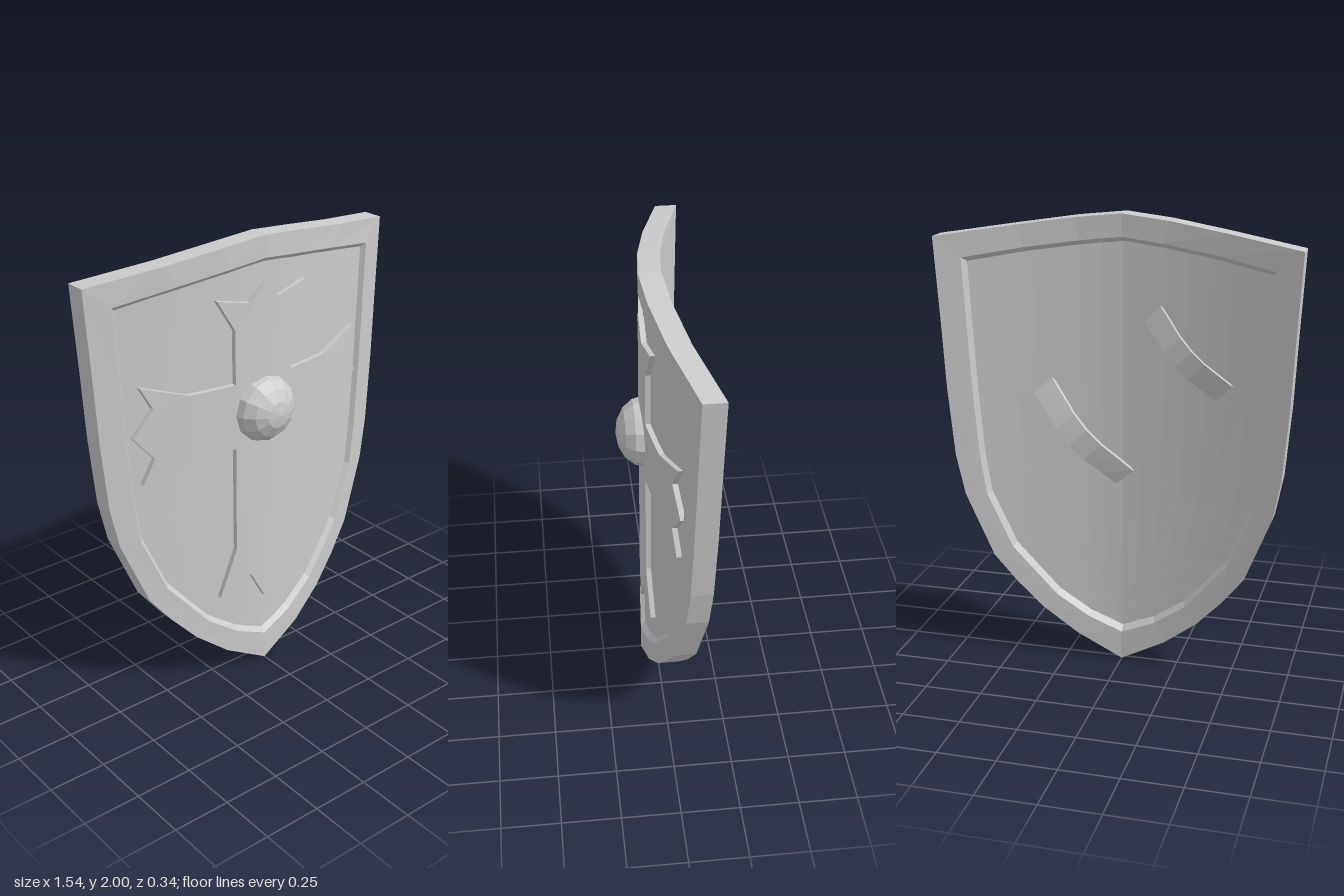
import * as THREE from 'three';

const material = new THREE.MeshStandardMaterial({ color: 0xcccccc, flatShading: true });

// Right half of the outer and inner rim outlines, from bottom tip to top middle
const OUTER = [[0, 0], [0.2, 0.11], [0.35, 0.23], [0.46, 0.35], [0.56, 0.48], [0.675, 0.77], [0.71, 0.95],
  [0.735, 1.25], [0.75, 1.55], [0.77, 1.9], [0.45, 1.945], [0.2, 1.98], [0, 2]];
const INNER = [[0, 0.13], [0.15, 0.195], [0.29, 0.295], [0.38, 0.4], [0.48, 0.52], [0.585, 0.77], [0.61, 0.95],
  [0.63, 1.22], [0.645, 1.5], [0.66, 1.81], [0.4, 1.855], [0.18, 1.885], [0, 1.905]];
const CORNER = 9; // index of the top corner in both outlines

// Depth levels at the centre line
const RIM_FRONT = 0.07, RIM_BACK = -0.022, PANEL_FRONT = 0.047, PANEL_BACK = 0.003, CROSS_FRONT = 0.069;

// The whole shield sweeps back towards its sides
const bend = (x) => -0.15 * Math.pow(Math.abs(x) / 0.77, 1.6);

function bendGeometry(geometry) {
  const p = geometry.attributes.position;
  for (let i = 0; i < p.count; i++) p.setZ(i, p.getZ(i) + bend(p.getX(i)));
  geometry.computeVertexNormals();
  return geometry;
}

// Skins rows of [x, y, z] points with quads
function skin(rows, closed = false) {
  const n = rows[0].length, m = rows.length, index = [];
  for (let j = 0; j < (closed ? m : m - 1); j++) {
    for (let i = 0; i < (closed ? n : n - 1); i++) {
      const k = (i + 1) % n, l = (j + 1) % m;
      const a = j * n + i, b = j * n + k, c = l * n + k, d = l * n + i;
      index.push(a, b, c, a, c, d);
    }
  }
  const geometry = new THREE.BufferGeometry();
  geometry.setAttribute('position', new THREE.Float32BufferAttribute(rows.flat(2), 3));
  geometry.setIndex(index);
  return bendGeometry(geometry);
}

function addMesh(parent, name, geometry) {
  const mesh = new THREE.Mesh(geometry, material);
  mesh.name = name;
  parent.add(mesh);
  return mesh;
}

// Raised rim: a six-sided section carried round the outline
function rimGeometry() {
  const full = (half) => [...half, ...half.slice(1, -1).reverse().map(([x, y]) => [-x, y])];
  const at = (half, z) => full(half).map(([x, y]) => [x, y, z]);
  const lip = INNER.map(([x, y]) => [x * 0.975, 1.1 + (y - 1.1) * 0.975]);
  return skin([at(OUTER, RIM_FRONT), at(INNER, RIM_FRONT), at(lip, PANEL_FRONT),
    at(lip, PANEL_BACK), at(INNER, RIM_BACK), at(OUTER, RIM_BACK)], true);
}

// One skin of the panel, its upper rows lifting to the peaked top
function panelGeometry(z, facing) {
  const columns = 14;
  const rows = INNER.slice(0, CORNER + 1).map(([w, y]) => {
    const lift = 0.095 * Math.pow((y - 0.13) / 1.68, 3);
    return Array.from({ length: columns + 1 }, (_, i) => {
      const u = facing * ((2 * i) / columns - 1);
      return [u * w, y + lift * (1 - Math.abs(u)), z];
    });
  });
  return skin(rows);
}

// Convex pieces of one half of the cross
const CROSS_PIECES = [
  [[0, 0.33], [0.074, 0.465], [0.148, 0.615], [0.148, 1.625], [0.074, 1.73], [0, 1.805]],
  [[0.074, 0.465], [0.23, 0.395], [0.148, 0.615]],
  [[0.148, 1.625], [0.23, 1.765], [0.074, 1.73]],
  [[0.148, 1.1], [0.25, 1.1], [0.25, 1.39], [0.148, 1.39]],
  [[0.25, 1.1], [0.36, 1.1], [0.36, 1.39], [0.25, 1.39]],
  [[0.36, 1.1], [0.513, 1.14], [0.513, 1.36], [0.36, 1.39]],
  [[0.513, 1.14], [0.6, 1.245], [0.513, 1.36]],
  [[0.36, 1.1], [0.566, 1.03], [0.513, 1.14]],
  [[0.513, 1.36], [0.566, 1.46], [0.36, 1.39]],
];

function crossPiece(points, side) {
  const shape = new THREE.Shape(points.map(([x, y]) => new THREE.Vector2(side * x, y)));
  const geometry = new THREE.ExtrudeGeometry(shape, { depth: 0.035, bevelEnabled: false });
  geometry.translate(0, 0, CROSS_FRONT - 0.035);
  return bendGeometry(geometry);
}

// Strap arching off the back between two points
function strapGeometry([x0, y0], [x1, y1]) {
  const rise = [0, 0.045, 0.09, 0.105, 0.09, 0.045, 0];
  const steps = rise.length - 1, length = Math.hypot(x1 - x0, y1 - y0);
  const nx = -(y1 - y0) / length, ny = (x1 - x0) / length;
  const geometry = new THREE.BoxGeometry(1, 0.1, 0.02, steps, 1, 1);
  const p = geometry.attributes.position;
  for (let i = 0; i < p.count; i++) {
    const f = p.getX(i) + 0.5, side = p.getY(i);
    p.setXYZ(i, x0 + (x1 - x0) * f + nx * side, y0 + (y1 - y0) * f + ny * side,
      PANEL_BACK + p.getZ(i) - rise[Math.round(f * steps)]);
  }
  return bendGeometry(geometry);
}

export function createModel() {
  const shield = new THREE.Group();
  shield.name = 'shield';

  addMesh(shield, 'rim', rimGeometry());
  addMesh(shield, 'panelFront', panelGeometry(PANEL_FRONT, 1));
  addMesh(shield, 'panelBack', panelGeometry(PANEL_BACK, -1));

  const cross = new THREE.Group();
  cross.name = 'cross';
  for (const side of [1, -1]) {
    for (const points of CROSS_PIECES) addMesh(cross, 'crossPiece', crossPiece(points, side));
  }
  shield.add(cross);

  // Domed boss, its pole facing forward
  const dome = new THREE.SphereGeometry(0.15, 12, 4, 0, Math.PI * 2, 0, Math.PI / 2);
  dome.rotateX(Math.PI / 2).scale(1, 1, 0.82);
  addMesh(shield, 'boss', dome).position.set(0, 1.25, 0.047);

  addMesh(shield, 'handStrap', strapGeometry([-0.45, 1.28], [-0.13, 1.59]));
  addMesh(shield, 'armStrap', strapGeometry([-0.01, 0.86], [0.34, 1.26]));

  return shield;
}
